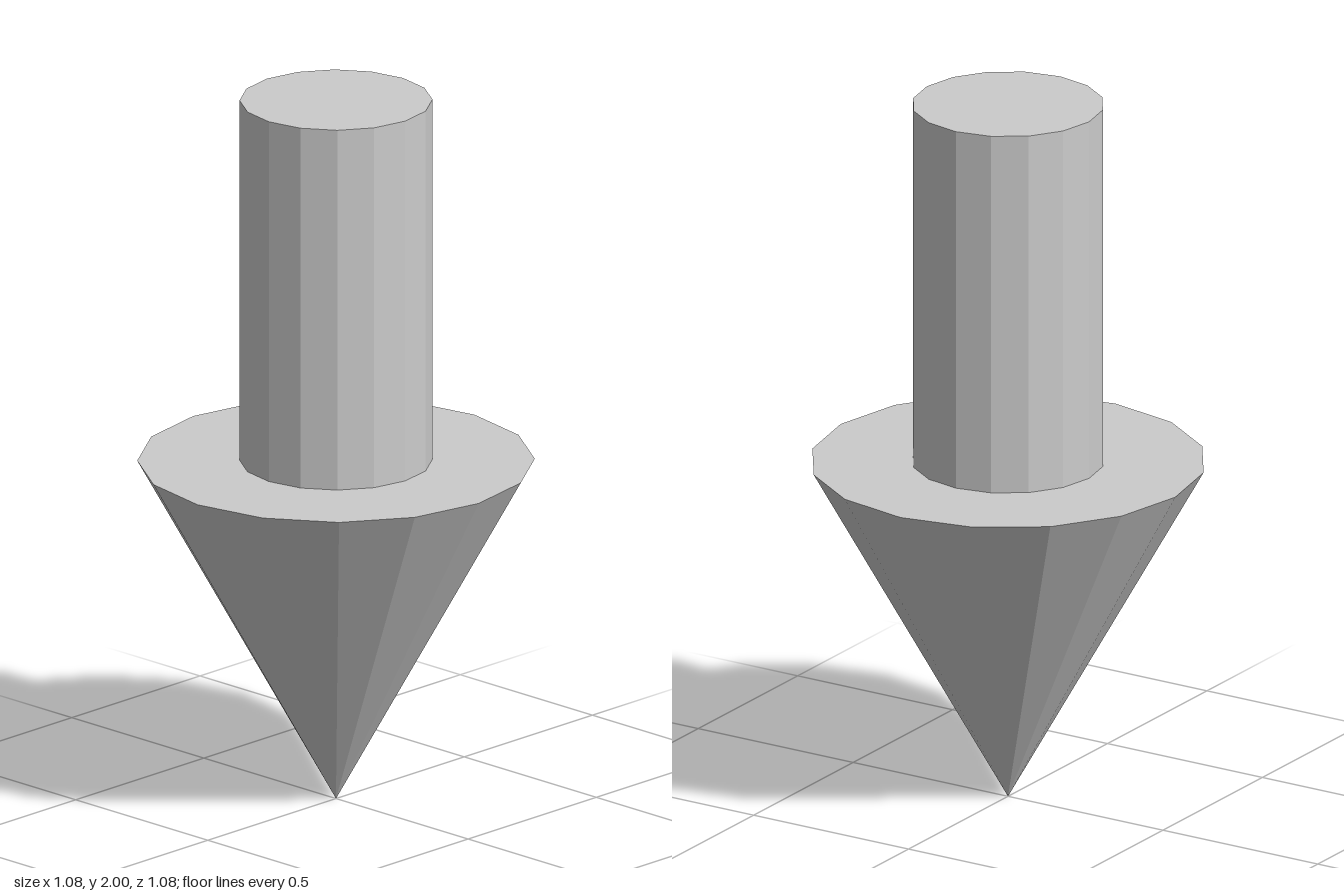
import * as THREE from 'three';

const SIDES = 16;
const HEAD_HEIGHT = 0.97;
const TOTAL_HEIGHT = 2;

export function createModel() {
  const group = new THREE.Group();
  group.name = 'downArrow';
  const material = new THREE.MeshStandardMaterial({ color: 0xcccccc, flatShading: true });

  // Pointed head, tip resting on the ground
  const headGeometry = new THREE.ConeGeometry(0.54, HEAD_HEIGHT, SIDES);
  headGeometry.rotateX(Math.PI);
  const head = new THREE.Mesh(headGeometry, material);
  head.name = 'arrowHead';
  head.position.y = HEAD_HEIGHT / 2;

  // Shaft standing on the flat back of the head
  const shaftHeight = TOTAL_HEIGHT - HEAD_HEIGHT;
  const shaft = new THREE.Mesh(
    new THREE.CylinderGeometry(0.262, 0.262, shaftHeight, SIDES),
    material
  );
  shaft.name = 'shaft';
  shaft.position.y = HEAD_HEIGHT + shaftHeight / 2;

  group.add(head, shaft);
  return group;
}
